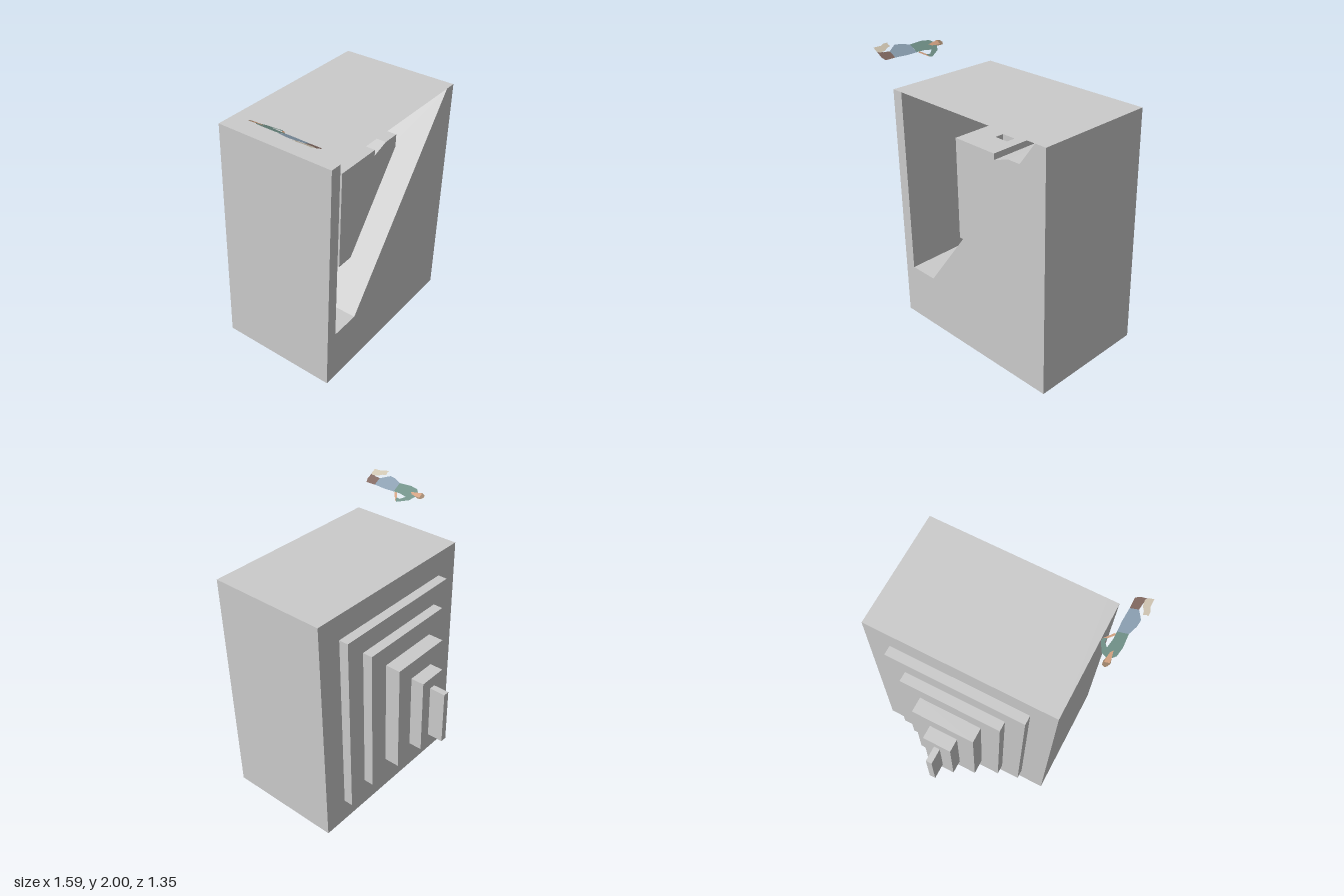
import * as THREE from 'three';

const grey = new THREE.MeshStandardMaterial({ color: 0xcccccc, flatShading: true });
const greyThin = new THREE.MeshStandardMaterial({ color: 0xcccccc, side: THREE.DoubleSide });

const X0 = -0.594, X1 = 0.796, TOP = 1.75, FRONT = 0.672, BACK = -0.21, RECESS = -0.13;

const shapeOf = pts => new THREE.Shape(pts.map(([x, y]) => new THREE.Vector2(x, y)));

export function createModel() {
  const model = new THREE.Group();

  const add = (name, geometry, material = grey, parent = model) => {
    const mesh = new THREE.Mesh(geometry, material);
    mesh.name = name;
    parent.add(mesh);
    return mesh;
  };
  // Front-view profile pushed through from z0 to z1
  const prism = (name, pts, z0, z1, parent) => {
    const g = new THREE.ExtrudeGeometry(shapeOf(pts), { depth: z1 - z0, bevelEnabled: false });
    return add(name, g.translate(0, 0, z0), grey, parent);
  };
  const rect = (x0, x1, y0, y1) => [[x0, y0], [x1, y0], [x1, y1], [x0, y1]];

  // Main body with a slanted recess open to the front
  prism('body', [
    [X0, 0], [X1, 0], [X1, TOP], [0.71, TOP], [-0.29, 0.4], [-0.51, 0.4], [-0.51, TOP], [X0, TOP],
  ], RECESS, FRONT);
  prism('backWall', rect(X0, X1, 0, TOP), BACK, RECESS);

  // Paper-thin roof over the recess
  const roof = new THREE.PlaneGeometry(1.22, FRONT - RECESS).rotateX(-Math.PI / 2);
  add('roof', roof.translate(0.1, TOP, (FRONT + RECESS) / 2), greyThin);

  // Block inside the recess, in slices: wedge notch on the right, small pit in the top
  const block = new THREE.Group();
  block.name = 'innerBlock';
  model.add(block);
  const h = 1.455;
  const blockSlice = (z0, z1, pit) => prism('blockSlice', [
    [-0.21, 0.69], [0.42, 0.69], [0.42, h], [0.29, h], [0.16, 1.41], [0.16, h],
    ...(pit ? [[0.08, h], [0.08, 1.4], [-0.03, 1.4], [-0.03, h]] : []),
    [-0.21, h],
  ], z0, z1, block);
  blockSlice(0.28, 0.476, false);
  blockSlice(0.21, 0.28, true);
  blockSlice(0.05, 0.21, false);
  prism('blockRear', rect(-0.21, 0.42, 0.69, h), RECESS, 0.05, block);

  // Stepped tiers on the back: x range, y range, rear z
  let z = BACK;
  [
    [-0.41, 0.615, 0.185, 1.57, -0.28],
    [-0.27, 0.475, 0.325, 1.43, -0.352],
    [-0.13, 0.333, 0.47, 1.287, -0.463],
    [-0.005, 0.205, 0.593, 1.158, -0.56],
    [0.08, 0.125, 0.677, 1.077, -0.675],
  ].forEach(([x0, x1, y0, y1, rear], i) => {
    prism(`backTier${i + 1}`, rect(x0, x1, y0, y1), rear, z);
    z = rear;
  });

  // Flat cut-out person and cat, lying on a tilted plane; outlines in x, z
  const figure = new THREE.Group();
  figure.name = 'scaleFigure';
  model.add(figure);
  const cutout = (name, color, pts, layer = 0) => {
    const g = new THREE.ShapeGeometry(shapeOf(pts));
    const p = g.attributes.position;
    for (let i = 0; i < p.count; i++) {
      const x = p.getX(i), zz = p.getY(i);
      p.setXYZ(i, x, 2 - 0.55 * (x + 0.8) + layer * 0.001, zz);
    }
    g.computeVertexNormals();
    add(name, g, new THREE.MeshStandardMaterial({ color, side: THREE.DoubleSide }), figure);
  };
  cutout('hair', 0x9a8068, [[-0.725, 0.18], [-0.715, 0.155], [-0.7, 0.148], [-0.68, 0.16],
    [-0.677, 0.19], [-0.685, 0.22], [-0.715, 0.22]]);
  cutout('face', 0xd0a080, [[-0.72, 0.18], [-0.685, 0.18], [-0.685, 0.215], [-0.69, 0.25],
    [-0.705, 0.27], [-0.715, 0.22]], 2);
  cutout('sweater', 0x6f8f86, [[-0.738, 0.235], [-0.715, 0.215], [-0.68, 0.215], [-0.645, 0.238],
    [-0.605, 0.32], [-0.615, 0.34], [-0.635, 0.345], [-0.632, 0.315], [-0.66, 0.28],
    [-0.67, 0.34], [-0.67, 0.4], [-0.742, 0.4], [-0.748, 0.3]], 1);
  cutout('forearm', 0xd0a080, [[-0.608, 0.335], [-0.665, 0.39], [-0.675, 0.375], [-0.632, 0.338]]);
  cutout('trousers', 0x8a9eb0, [[-0.742, 0.4], [-0.67, 0.4], [-0.668, 0.48], [-0.673, 0.58],
    [-0.73, 0.58], [-0.77, 0.51], [-0.765, 0.46]]);
  cutout('boots', 0x80675f, [[-0.73, 0.58], [-0.673, 0.58], [-0.672, 0.66], [-0.7, 0.672],
    [-0.755, 0.668], [-0.735, 0.63]]);
  cutout('cat', 0xcdc3b0, [[-0.798, 0.545], [-0.785, 0.553], [-0.765, 0.547], [-0.76, 0.575],
    [-0.74, 0.61], [-0.735, 0.655], [-0.75, 0.672], [-0.785, 0.67], [-0.785, 0.61], [-0.798, 0.58]], 2);

  return model;
}
